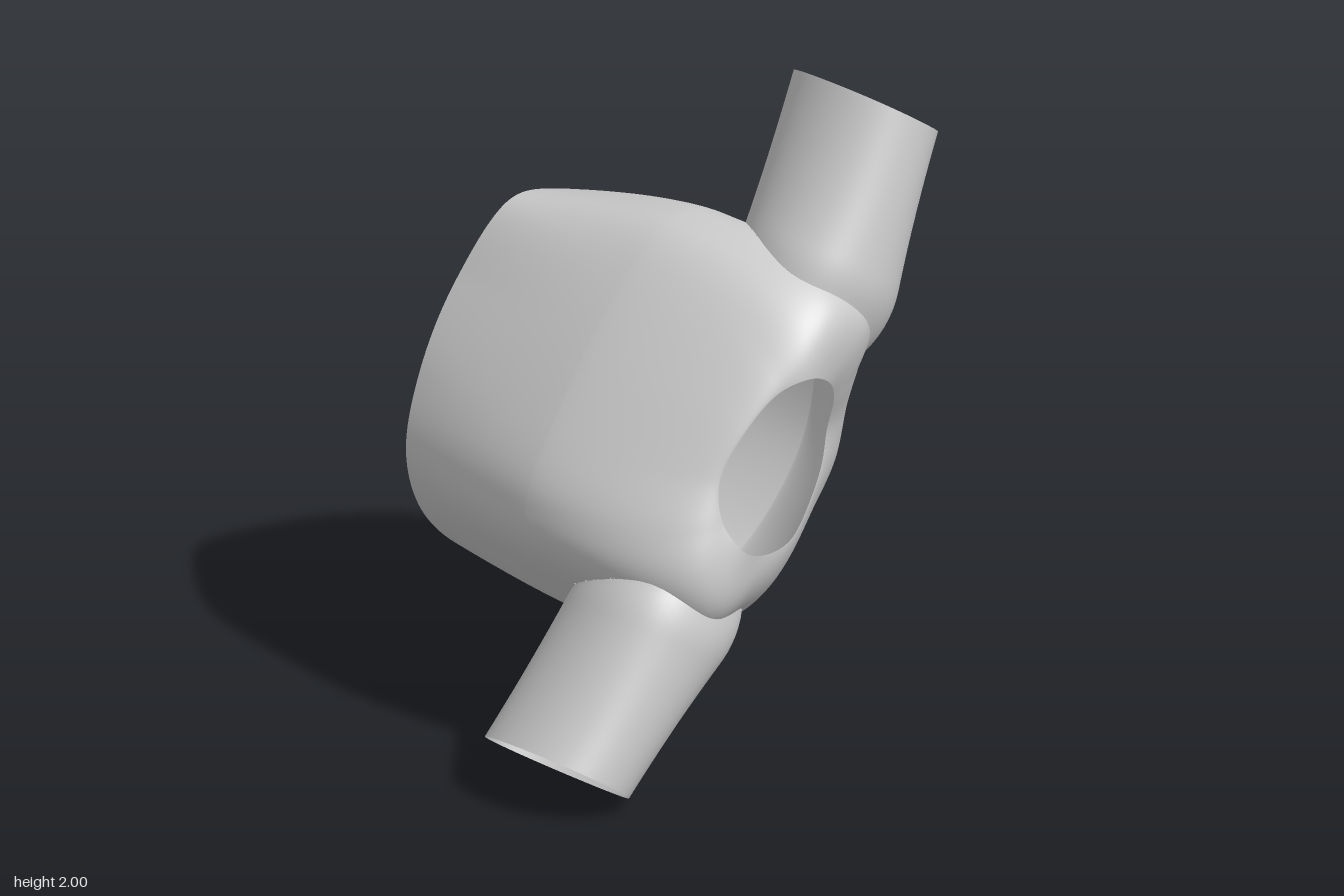
import * as THREE from 'three';

const material = new THREE.MeshStandardMaterial({ color: 0xcccccc, side: THREE.DoubleSide });
const V = (x, y, z) => new THREE.Vector3(x, y, z);

// Outlines counter-clockwise: front hole x,y,z | widest section x,y, squareness | back rim x,y,z
const outline = [
  [0.30, 0.98, 0.50, 0.75, 0.98, 1.45, 0.72, 0.98, -0.51],
  [0.28, 1.10, 0.55, 0.67, 1.20, 1.9, 0.65, 1.18, -0.53],
  [0.20, 1.20, 0.61, 0.46, 1.44, 4.2, 0.47, 1.35, -0.57],
  [0.10, 1.245, 0.63, 0.20, 1.57, 2.4, 0.23, 1.46, -0.58],
  [0.00, 1.22, 0.60, 0.00, 1.49, 1.7, 0.04, 1.48, -0.59],
  [-0.11, 1.12, 0.57, -0.21, 1.26, 1.5, -0.15, 1.26, -0.63],
  [-0.20, 0.98, 0.55, -0.41, 0.98, 1.5, -0.31, 1.02, -0.62],
  [-0.22, 0.86, 0.58, -0.48, 0.78, 2.1, -0.39, 0.78, -0.60],
  [-0.17, 0.76, 0.62, -0.36, 0.52, 4.2, -0.33, 0.57, -0.59],
  [-0.06, 0.71, 0.60, -0.14, 0.35, 2.2, -0.14, 0.39, -0.57],
  [0.08, 0.71, 0.57, 0.16, 0.285, 1.5, 0.12, 0.31, -0.54],
  [0.22, 0.80, 0.52, 0.49, 0.44, 1.3, 0.45, 0.42, -0.52],
  [0.28, 0.88, 0.50, 0.69, 0.68, 1.35, 0.65, 0.68, -0.51],
];
const loop = (k) => new THREE.CatmullRomCurve3(outline.map((p) => V(p[k], p[k + 1], p[k + 2])), true);
const hole = loop(0), middle = loop(3), rim = loop(6);

// Closed-ring grid: point(row, column) gives each vertex
function ringSurface(rows, cols, point) {
  const positions = [], index = [];
  for (let r = 0; r <= rows; r++) {
    for (let c = 0; c < cols; c++) {
      positions.push(...point(r / rows, c / cols).toArray());
      if (r === rows) continue;
      const a = r * cols + c, b = r * cols + (c + 1) % cols;
      index.push(a, a + cols, b, b, a + cols, b + cols);
    }
  }
  const g = new THREE.BufferGeometry();
  g.setAttribute('position', new THREE.Float32BufferAttribute(positions, 3));
  g.setIndex(index);
  g.computeVertexNormals();
  return g;
}

// Chamber wall: rounded shoulder from the hole to the widest section, then a sleeve to the rim
function chamberPoint(r, c) {
  const h = hole.getPoint(c), m = middle.getPoint(c), b = rim.getPoint(c);
  const e = 2 / Math.max(m.z, 1.25);
  if (r <= 0.65) {
    const q = r / 0.65;
    const a = q * q * (3 - 2 * q) * Math.PI / 2;
    const f = Math.sin(a) ** e;
    return V(h.x + (m.x - h.x) * f, h.y + (m.y - h.y) * f, h.z * Math.max(0, Math.cos(a)) ** e);
  }
  const t = (r - 0.65) / 0.35;
  const f = t ** 1.4;
  return V(m.x + (b.x - m.x) * f, m.y + (b.y - m.y) * f, b.z * t);
}

// Side pipes: oval tubes that flare to a base section, then sink into the chamber
const normal = V(0.574, 0.819, 0), across = V(0.819, -0.574, 0);
const reach = 1.42, skew = 0.05;
const pipes = [
  { name: 'upperPipe', end: V(0.65, 1.895, 0.3), base: V(0.42, 1.45, 0.335), axis: normal },
  { name: 'lowerPipe', end: V(-0.65, 0.106, 0.295), base: V(-0.31, 0.48, 0.33), axis: normal.clone().negate() },
];
const taper = (s) => 1 - 1.5 * Math.max(0, s - 0.97) ** 2;
const halfWidth = (s) => (0.183 + 0.045 * s * s) * taper(s);
const halfDepth = (s) => 0.265 * taper(s);

function pipePoint(pipe, s, angle) {
  const p = pipe.end.clone().lerp(pipe.base, s);
  p.addScaledVector(across, Math.cos(angle) * halfWidth(s));
  p.z += Math.sin(angle) * halfDepth(s) + skew * Math.cos(angle) ** 2;
  return p;
}

function insidePipe(pipe, p) {
  const s = p.clone().sub(pipe.end).dot(pipe.axis) / pipe.base.clone().sub(pipe.end).dot(pipe.axis);
  if (s < 0 || s > reach) return false;
  const d = p.clone().sub(pipe.end.clone().lerp(pipe.base, s));
  const u = d.dot(across) / halfWidth(s);
  return u * u + ((d.z - skew * u * u) / halfDepth(s)) ** 2 < 0.92;
}

// How far along the pipe a strip runs before it meets the chamber
function meetChamber(pipe, angle, chamber) {
  const steps = 16;
  for (let i = 0; i < steps; i++) {
    const s0 = reach * i / steps, s1 = reach * (i + 1) / steps;
    const from = pipePoint(pipe, s0, angle), to = pipePoint(pipe, s1, angle);
    const length = from.distanceTo(to);
    const ray = new THREE.Raycaster(from, to.sub(from).normalize(), 0, length);
    const hit = ray.intersectObject(chamber)[0];
    if (hit) return s0 + (s1 - s0) * hit.distance / length;
  }
  return reach;
}

export function createModel() {
  const group = new THREE.Group();

  const body = ringSurface(90, 160, chamberPoint);
  const chamber = new THREE.Mesh(body, material);
  chamber.name = 'chamber';

  for (const pipe of pipes) {
    const cols = 64;
    const stops = Array.from({ length: cols }, (_, i) => meetChamber(pipe, i / cols * Math.PI * 2, chamber));
    const tube = ringSurface(24, cols, (r, c) =>
      pipePoint(pipe, r * stops[Math.round(c * cols)], c * Math.PI * 2));
    const mesh = new THREE.Mesh(tube, material);
    mesh.name = pipe.name;
    group.add(mesh);
  }

  // Open the chamber wall where the pipes enter
  const pos = body.attributes.position, old = body.index.array, kept = [];
  for (let i = 0; i < old.length; i += 3) {
    const corners = [old[i], old[i + 1], old[i + 2]];
    const mid = V(0, 0, 0);
    for (const k of corners) mid.add(V(pos.getX(k), pos.getY(k), pos.getZ(k)));
    mid.divideScalar(3);
    if (!pipes.some((pipe) => insidePipe(pipe, mid))) kept.push(...corners);
  }
  body.setIndex(kept);
  group.add(chamber);
  return group;
}
